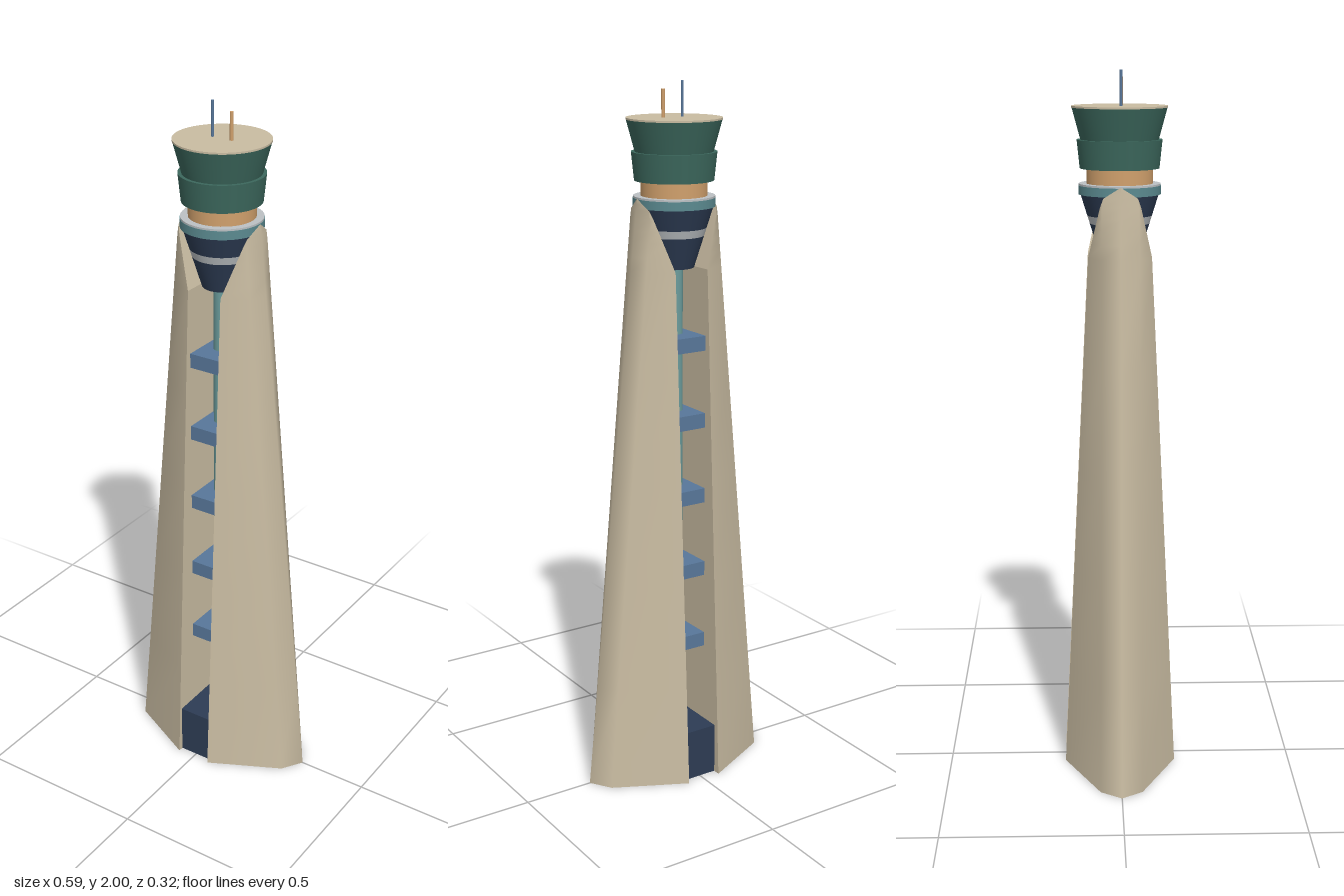
import * as THREE from 'three';

const mat = (name, color, extra = {}) => {
  const m = new THREE.MeshStandardMaterial({ color, ...extra });
  m.name = name;
  return m;
};
const lerp = THREE.MathUtils.lerp;

// Half-shell leg cross-section at height y, from back inner corner round the outside to the front one
function legSection(y) {
  const t = y / 1.695;
  const ox = lerp(0.295, 0.119, t);
  const kx = lerp(0.256, 0.105, t), kz = lerp(0.06, 0.05, t);
  const xi = Math.min(ox, 0.052 + Math.max(0, y - 1.5) / 0.195 * 0.067);
  const outerZ = (x) => kz * (ox - x) / (ox - kx);
  const zi = xi < kx ? lerp(lerp(0.161, 0.078, t), kz, (xi - 0.052) / (kx - 0.052)) : outerZ(xi);
  const kxx = Math.max(kx, xi), kzz = xi < kx ? kz : zi;
  return [[xi, -zi], [kxx, -kzz], [ox, 0], [kxx, kzz], [xi, zi]].map(([x, z]) => [x, y, z]);
}

// Skin joining equal-length rows of points
function loft(rows) {
  const n = rows[0].length, index = [];
  for (let r = 0; r < rows.length - 1; r++) {
    for (let i = 0; i < n - 1; i++) {
      const a = r * n + i, b = a + 1, d = a + n, c = d + 1;
      index.push(b, a, d, b, d, c);
    }
  }
  const g = new THREE.BufferGeometry();
  g.setAttribute('position', new THREE.Float32BufferAttribute(rows.flat(2), 3));
  g.setIndex(index);
  g.computeVertexNormals();
  return g;
}

export function createModel() {
  const root = new THREE.Group();
  root.name = 'controlTower';

  const concrete = mat('concrete', 0xc9bca2, { side: THREE.DoubleSide });
  const green = mat('greenGlass', 0x3c685d);
  const navy = mat('navy', 0x2d3c54);
  const teal = mat('teal', 0x6b9c9c);
  const ringTeal = mat('ringTeal', 0x5b8a90);
  const tan = mat('tan', 0xd0a06c);
  const grey = mat('paleGrey', 0xbcc1c4);
  const blue = mat('slateBlue', 0x58779a);

  const add = (name, geo, material, x = 0, y = 0, z = 0, parent = root) => {
    const m = new THREE.Mesh(geo, material);
    m.name = name;
    m.position.set(x, y, z);
    parent.add(m);
    return m;
  };
  const box = (name, w, h, d, material, x, y, z) =>
    add(name, new THREE.BoxGeometry(w, h, d), material, x, y, z);
  // Tapered drum between two heights
  const drum = (name, y0, y1, r0, r1, material, x = 0, z = 0, sides = 48) =>
    add(name, new THREE.CylinderGeometry(r1, r0, y1 - y0, sides), material, x, (y0 + y1) / 2, z);

  // Two tapering leg shells, trimmed at the top around the cone
  const levels = [0, 0.3, 0.6, 0.9, 1.2, 1.5, 1.54, 1.58, 1.61, 1.64, 1.665, 1.68, 1.695];
  const sections = levels.map(legSection);
  const skin = loft(sections);
  const inner = sections.map((s) => [s[4], s[0]]);
  const wall = loft(inner.slice(0, 6));
  const trim = loft(inner.slice(5));
  const foot = new THREE.BufferGeometry();
  foot.setAttribute('position', new THREE.Float32BufferAttribute(sections[0].flat(), 3));
  foot.setIndex([0, 1, 2, 0, 2, 3, 0, 3, 4]);
  foot.computeVertexNormals();
  for (const [name, turn] of [['leftLeg', 0], ['rightLeg', Math.PI]]) {
    const leg = new THREE.Group();
    leg.name = name;
    leg.rotation.y = turn;
    add('outerSkin', skin, concrete, 0, 0, 0, leg);
    add('innerWall', wall, concrete, 0, 0, 0, leg);
    add('topTrim', trim, concrete, 0, 0, 0, leg);
    add('foot', foot, concrete, 0, 0, 0, leg);
    root.add(leg);
  }

  // Core between the legs: base block, shaft, landings and steps
  box('baseBlock', 0.104, 0.15, 0.284, navy, 0, 0.075, 0.003);
  drum('coreShaft', 0.15, 1.51, 0.024, 0.024, teal, 0, 0, 24);
  for (let i = 0; i < 5; i++) {
    box('landing', 0.104, 0.042, 0.16, blue, 0, 0.405 + i * 0.222, 0);
  }
  for (let i = 0; i < 6; i++) {
    for (const y of [0.25, 0.325]) {
      const h = y + i * 0.222;
      box('step', 0.034, 0.022, 0.05, concrete, 0.036, h, 0);
      box('stepUnderside', 0.034, 0.008, 0.05, blue, 0.036, h - 0.015, 0);
    }
  }

  // Cone under the cab with a pale band
  const coneR = (y) => lerp(0.055, 0.108, (y - 1.5) / 0.17);
  const cone = (name, y0, y1, m) => drum(name, y0, y1, coneR(y0), coneR(y1), m);
  cone('lowerCone', 1.5, 1.588, navy);
  cone('coneBand', 1.588, 1.61, grey);
  cone('upperCone', 1.61, 1.668, navy);

  // Balcony ring, neck and two-tier cab
  drum('balconyRing', 1.668, 1.692, 0.113, 0.113, ringTeal);
  drum('balconyDeck', 1.692, 1.697, 0.112, 0.112, grey);
  drum('neck', 1.697, 1.74, 0.091, 0.091, tan);
  drum('lowerCab', 1.738, 1.815, 0.109, 0.117, green);
  drum('upperCab', 1.815, 1.9, 0.107, 0.13, green);
  drum('roof', 1.9, 1.905, 0.131, 0.131, concrete);

  // Roof masts
  drum('tallMast', 1.9, 2.0, 0.004, 0.004, blue, -0.028, 0.003, 10);
  drum('shortMast', 1.9, 1.98, 0.005, 0.005, tan, 0.032, 0.005, 10);

  return root;
}
